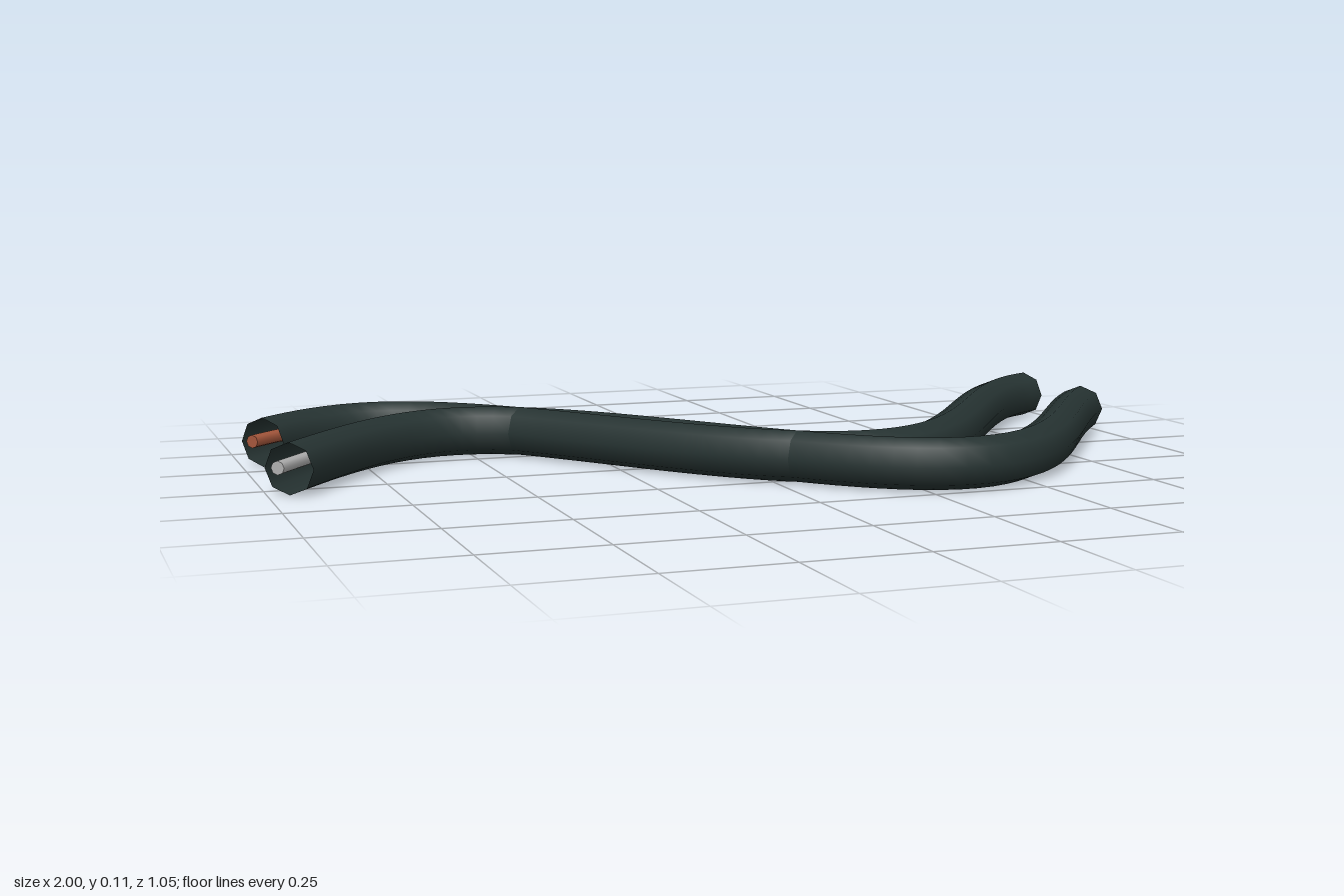
import * as THREE from 'three';

const START = -0.957, END = 0.96;   // cut ends of both cables
const HALF_WAVE = 0.87, AMPLITUDE = 0.393;
const RADIUS = 0.0535, WIRE_RADIUS = 0.0145;

// Sine wave lying flat, with its back crest at crestX
function wave(crestX, midZ, dx = 0, dz = 0) {
  const points = [];
  for (let i = 0; i <= 32; i++) {
    const x = START + (END - START) * i / 32;
    const z = midZ - AMPLITUDE * Math.cos(Math.PI * (x - crestX) / HALF_WAVE);
    points.push(new THREE.Vector3(x + dx, RADIUS, z + dz));
  }
  return new THREE.CatmullRomCurve3(points);
}

function tube(name, curve, radius, material) {
  const mesh = new THREE.Mesh(new THREE.TubeGeometry(curve, 64, radius, 8), material);
  mesh.name = name;
  return mesh;
}

// Flat disc closing one end of a wire
function cap(curve, t, material) {
  const disc = new THREE.Mesh(new THREE.CircleGeometry(WIRE_RADIUS, 8), material);
  const p = curve.getPointAt(t);
  const outward = curve.getTangentAt(t).multiplyScalar(t === 0 ? -1 : 1);
  disc.position.copy(p);
  disc.lookAt(p.clone().add(outward));
  disc.name = 'wireEnd';
  return disc;
}

export function createModel() {
  const make = (name, color, side = THREE.FrontSide) => {
    const m = new THREE.MeshStandardMaterial({ color, side });
    m.name = name;
    return m;
  };
  const rubber = make('darkRubber', 0x263332, THREE.DoubleSide);
  const copper = make('copper', 0xa5573c);
  const silver = make('silver', 0xb0b0b0);

  const model = new THREE.Group();
  model.name = 'cablePair';

  // Each cable: an open sleeve with a thin core resting against its side
  function cable(name, crestX, midZ, metal) {
    const group = new THREE.Group();
    group.name = name;
    const core = wave(crestX, midZ, -0.02, -0.018);
    group.add(
      tube('sleeve', wave(crestX, midZ), RADIUS, rubber),
      tube('wire', core, WIRE_RADIUS, metal),
      cap(core, 0, metal),
      cap(core, 1, metal)
    );
    model.add(group);
  }
  cable('frontCable', -0.53, 0.0725, silver);
  cable('backCable', -0.69, -0.0825, copper);

  return model;
}
